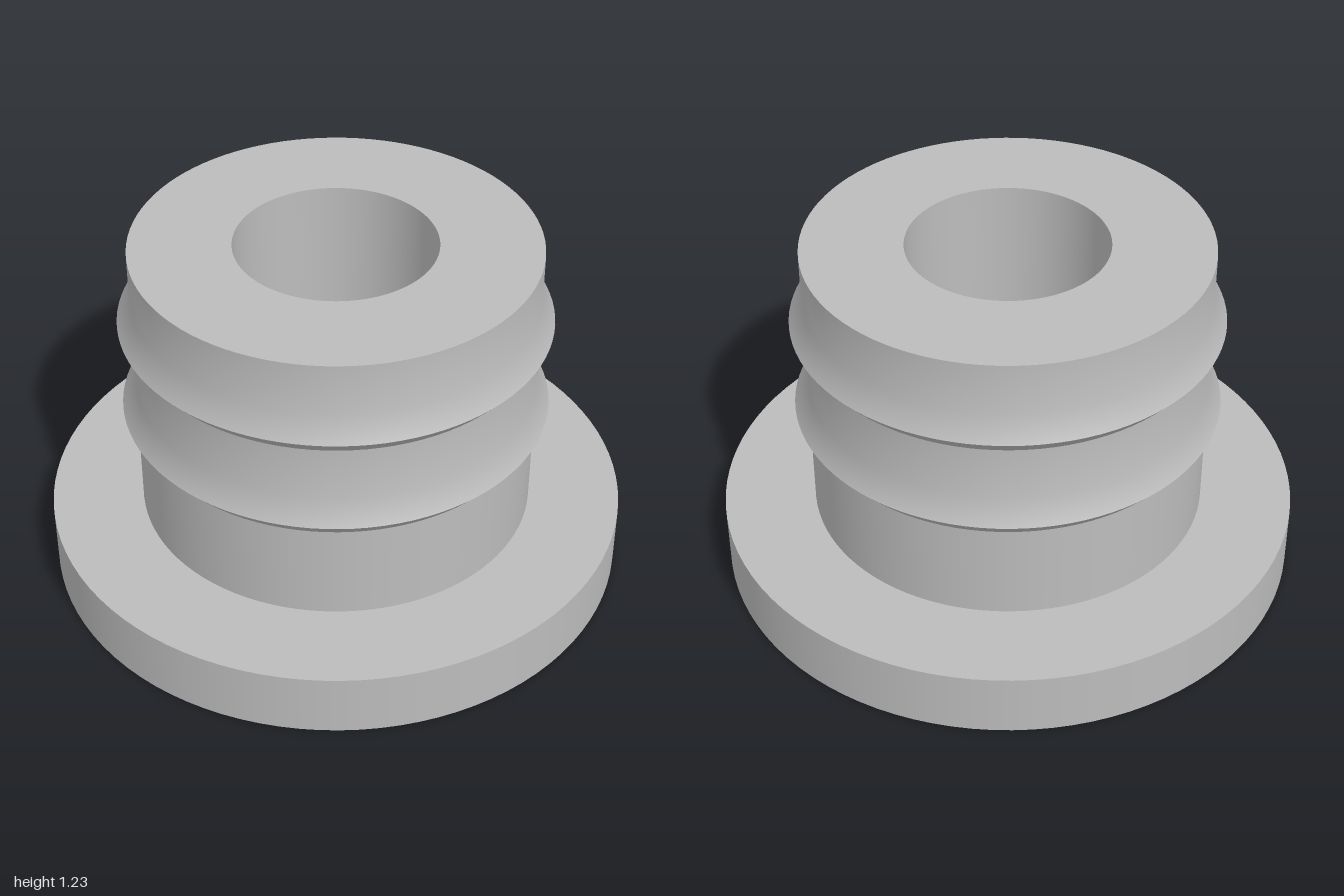
import * as THREE from 'three';
import { mergeGeometries } from 'three/addons/utils/BufferGeometryUtils.js';

const SEGMENTS = 96;
const HOLE = 0.34, NECK = 0.683, RIDGE = 0.73, FLANGE = 1;
const FLANGE_TOP = 0.225, TOP = 1.225;

// Each strip is smooth within itself; edges between strips stay sharp.
function turned(name, material, strips) {
  const parts = strips.map((strip) =>
    new THREE.LatheGeometry(strip.map(([r, y]) => new THREE.Vector2(r, y)), SEGMENTS));
  const mesh = new THREE.Mesh(mergeGeometries(parts), material);
  mesh.name = name;
  return mesh;
}

export function createModel() {
  const group = new THREE.Group();
  group.name = 'barbedBushing';
  const grey = new THREE.MeshStandardMaterial({ color: 0xbcbcbc });
  grey.name = 'grey';

  // Wide base flange: underside, rim, upper face
  group.add(turned('flange', grey, [
    [[HOLE, 0], [FLANGE, 0]],
    [[FLANGE, 0], [FLANGE, FLANGE_TOP]],
    [[FLANGE, FLANGE_TOP], [NECK, FLANGE_TOP]],
  ]));

  // Plain neck below the first barb
  group.add(turned('neck', grey, [[[NECK, FLANGE_TOP], [NECK, 0.57]]]));

  // Two barbs, each sloping softly into the sleeve above it
  [[0.57, 0.903, 'lowerBarb'], [0.903, TOP, 'upperBarb']].forEach(([y, end, name]) => {
    group.add(turned(name, grey, [
      [[NECK, y], [RIDGE, y + 0.054]],
      [[RIDGE, y + 0.054], [NECK, y + 0.142], [NECK, end]],
    ]));
  });

  // Top ring and through hole
  group.add(turned('topRing', grey, [[[NECK, TOP], [HOLE, TOP]]]));
  group.add(turned('bore', grey, [[[HOLE, TOP], [HOLE, 0]]]));

  return group;
}
